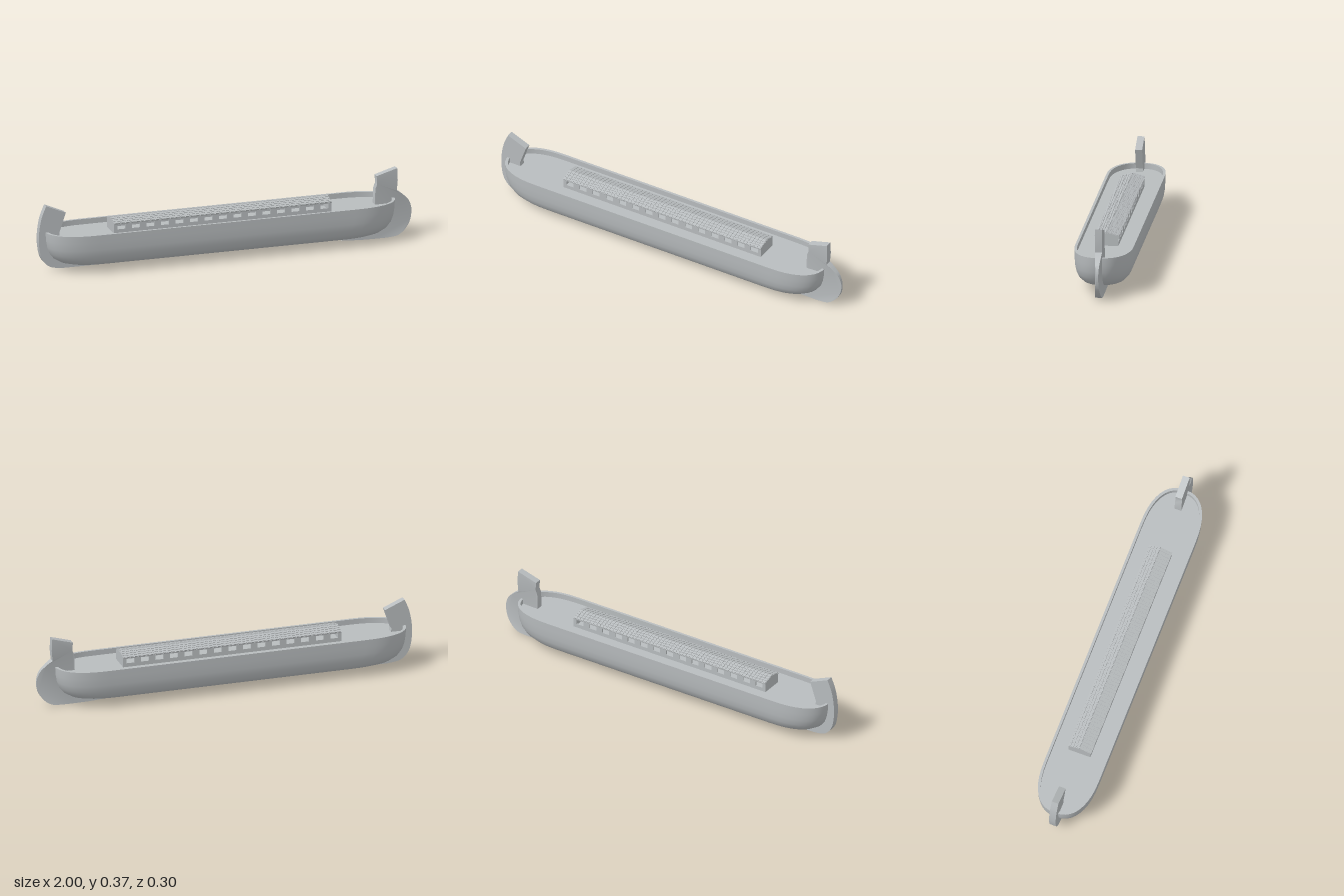
import * as THREE from 'three';
import { mergeGeometries, toCreasedNormals } from 'three/addons/utils/BufferGeometryUtils.js';

const grey = new THREE.MeshStandardMaterial({ color: 0xb8bcbe });
grey.name = 'grey';

function part(name, geometry) {
  const m = new THREE.Mesh(geometry, grey);
  m.name = name;
  return m;
}

// Plan outline: straight sides closed by superelliptic ends
function outline(L, W, E, y) {
  const pts = [], n = 20, p = 2 / 2.4;
  for (const side of [1, -1]) {
    for (let i = 0; i <= n; i++) {
      const a = (i / n - 0.5) * Math.PI;
      const c = Math.pow(Math.max(0, Math.cos(a)), p);
      const s = Math.sign(a) * Math.pow(Math.abs(Math.sin(a)), p);
      pts.push([-0.03 + side * (L - E + E * c), y, side * s * W]);
    }
  }
  return pts;
}

// Hull: outlines stacked from the keel line, over the rim, down to the deck
function hullGeometry() {
  const levels = [
    [0.6, 0, 0, 0.03], [0.76, 0.06, 0.16, 0.03], [0.815, 0.09, 0.19, 0.036],
    [0.86, 0.115, 0.22, 0.049], [0.893, 0.132, 0.24, 0.07], [0.914, 0.142, 0.25, 0.097],
    [0.926, 0.147, 0.25, 0.13], [0.933, 0.149, 0.25, 0.17], [0.935, 0.15, 0.25, 0.21],
    [0.921, 0.137, 0.24, 0.21], [0.921, 0.137, 0.24, 0.182], [0.6, 0, 0, 0.182],
  ].map(([L, W, E, y]) => outline(L, W, E, y));
  const n = levels[0].length, index = [];
  for (let k = 0; k < levels.length - 1; k++) {
    for (let i = 0; i < n; i++) {
      const j = (i + 1) % n, a = k * n, b = a + n;
      index.push(a + i, b + i, a + j, b + i, b + j, a + j);
    }
  }
  const g = new THREE.BufferGeometry();
  g.setAttribute('position', new THREE.Float32BufferAttribute(levels.flat(2), 3));
  g.setIndex(index);
  return toCreasedNormals(g, 0.7);
}

// Upright plate in the centre plane, of half thickness 0.018
function plate(points, smoothFrom, smoothTo) {
  const s = new THREE.Shape();
  s.moveTo(...points[0]);
  points.slice(1, smoothFrom).forEach(p => s.lineTo(...p));
  s.splineThru(points.slice(smoothFrom, smoothTo).map(p => new THREE.Vector2(...p)));
  points.slice(smoothTo).forEach(p => s.lineTo(...p));
  const g = new THREE.ExtrudeGeometry(s, { depth: 0.036, bevelEnabled: false, curveSegments: 20 });
  return g.translate(0, 0, -0.018);
}

function createModel() {
  const model = new THREE.Group();
  model.name = 'barge';
  model.add(part('hull', hullGeometry()));

  // Bow post sweeping down into the keel
  const stem = plate([[-0.855, 0.305], [-0.96, 0.35], [-0.985, 0.285], [-0.998, 0.21],
    [-0.998, 0.14], [-0.982, 0.07], [-0.94, 0.025], [-0.87, 0.012], [0.65, 0.012],
    [0.65, 0.05], [-0.78, 0.05], [-0.87, 0.1], [-0.89, 0.2]], 2, 8);
  model.add(part('stemAndKeel', toCreasedNormals(stem, 0.5)));

  // Stern post and rudder, thinned toward the trailing edge
  const rudder = plate([[0.8, 0.18], [0.72, 0.05], [0.62, 0.008], [0.72, 0.001], [0.88, 0.001],
    [0.94, 0.016], [0.985, 0.065], [1, 0.13], [0.985, 0.185], [0.95, 0.222], [0.918, 0.245],
    [0.923, 0.3], [0.92, 0.365], [0.81, 0.333], [0.813, 0.29], [0.803, 0.265]], 4, 11);
  const pos = rudder.attributes.position;
  for (let i = 0; i < pos.count; i++) {
    const y = pos.getY(i);
    const edge = THREE.MathUtils.smoothstep(pos.getX(i), 0.89, 1);
    const mid = Math.max(0, 1 - Math.abs(y - 0.13) / 0.13);
    pos.setZ(i, pos.getZ(i) * (1 - 0.65 * edge * Math.sqrt(mid)));
  }
  model.add(part('sternPostAndRudder', toCreasedNormals(rudder, 0.5)));

  // Cabin
  const cabin = new THREE.Group();
  cabin.name = 'cabin';
  cabin.position.x = -0.0275;
  model.add(cabin);
  const len = 1.165, half = len / 2, windows = 15, pitch = len / windows;

  // Long walls with window openings
  for (const side of [1, -1]) {
    const wall = new THREE.Shape([[-half, 0.18], [half, 0.18], [half, 0.234], [-half, 0.234]]
      .map(p => new THREE.Vector2(...p)));
    for (let i = 0; i < windows; i++) {
      const x = -half + (i + 0.5) * pitch, w = 0.021;
      wall.holes.push(new THREE.Path([[x - w, 0.202], [x - w, 0.226], [x + w, 0.226], [x + w, 0.202]]
        .map(p => new THREE.Vector2(...p))));
    }
    const g = new THREE.ExtrudeGeometry(wall, { depth: 0.006, bevelEnabled: false });
    g.translate(0, 0, side * 0.056 - 0.003);
    cabin.add(part(side > 0 ? 'frontWall' : 'backWall', g));
  }

  // Gabled end walls
  for (const side of [1, -1]) {
    const gable = new THREE.Shape([[-0.059, 0.18], [0.059, 0.18], [0.059, 0.232], [0, 0.246], [-0.059, 0.232]]
      .map(p => new THREE.Vector2(...p)));
    const g = new THREE.ExtrudeGeometry(gable, { depth: 0.006, bevelEnabled: false });
    g.rotateY(Math.PI / 2).translate(side * (half - 0.003) - 0.003, 0, 0);
    cabin.add(part(side > 0 ? 'leftEndWall' : 'rightEndWall', g));
  }

  // Sloping roof halves covered with small tiles
  const rows = 4, cols = 58, width = 0.064, dx = len / cols, dz = width / rows;
  for (const side of [1, -1]) {
    const boxes = [new THREE.BoxGeometry(len, 0.004, width).translate(0, 0, width / 2)];
    for (let r = 0; r < rows; r++) {
      for (let c = 0; c < cols; c++) {
        boxes.push(new THREE.BoxGeometry(dx - 0.004, 0.003, dz - 0.003)
          .translate(-half + (c + 0.5) * dx, 0.0035, (r + 0.5) * dz));
      }
    }
    const slope = part(side > 0 ? 'frontRoof' : 'backRoof', mergeGeometries(boxes));
    slope.rotation.order = 'YXZ';
    slope.rotation.set(0.27, side > 0 ? 0 : Math.PI, 0);
    slope.position.y = 0.249;
    cabin.add(slope);
  }
  return model;
}

export { createModel };
